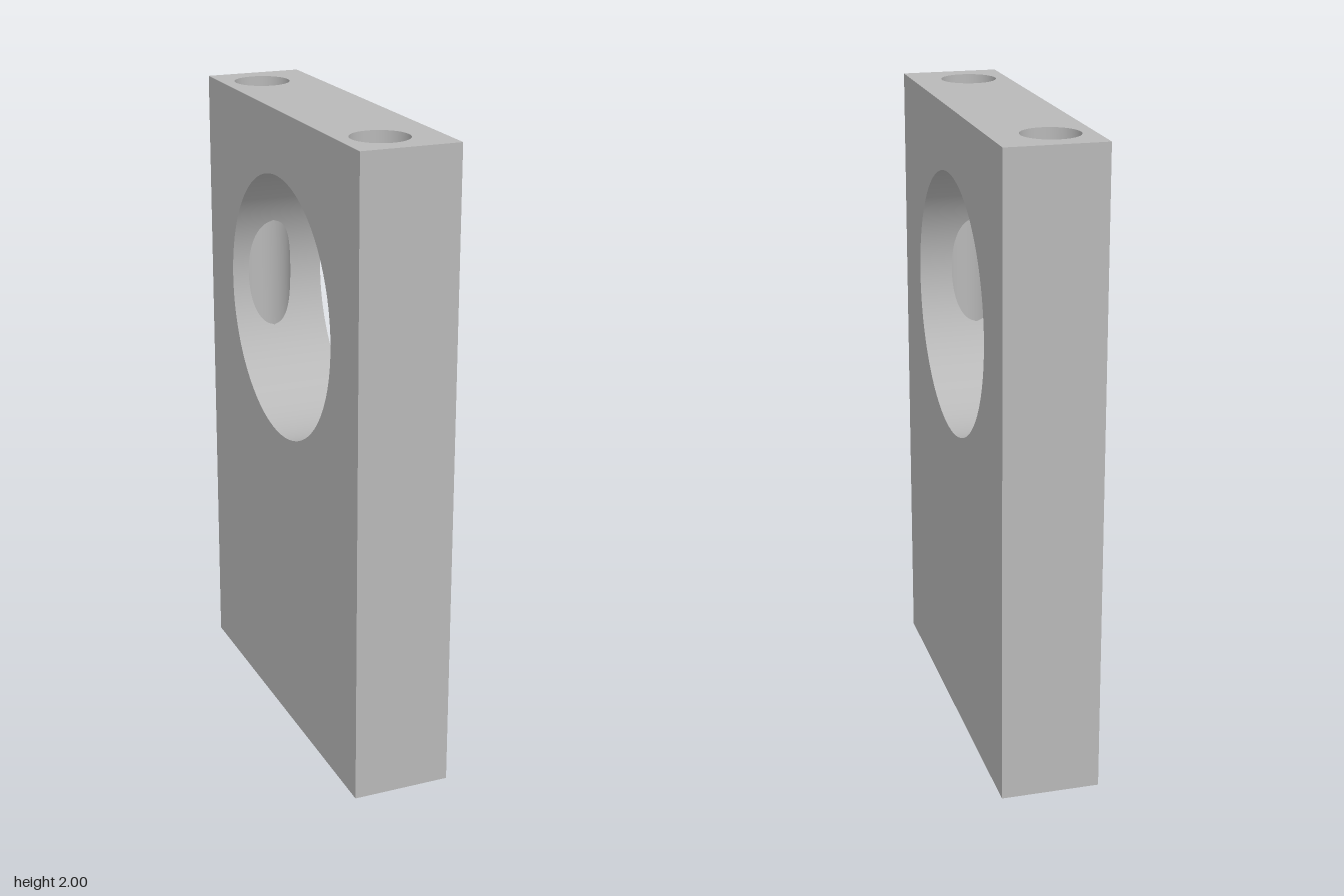
import * as THREE from 'three';

// Plate size, large cross bore and the two vertical bolt bores
const W = 1.23, H = 2, T = 0.307;
const BORE_R = 0.413, BORE_Y = 1.387;
const BOLT_R = 0.088, BOLT_X = 0.462, BOLT_Z = 0.026;

// Flat rectangle with round holes, given as [x, y, radius]
function face(w, h, holes = []) {
  const shape = new THREE.Shape();
  shape.moveTo(-w / 2, -h / 2).lineTo(w / 2, -h / 2).lineTo(w / 2, h / 2).lineTo(-w / 2, h / 2);
  for (const [x, y, r] of holes) {
    const hole = new THREE.Path();
    hole.absarc(x, y, r, 0, Math.PI * 2, true);
    shape.holes.push(hole);
  }
  return new THREE.ShapeGeometry(shape, 64);
}

// Inward-facing cylinder wall along y, split by an opening of half-height gap(angle) around mid
function boreWall(radius, lo, hi, mid, gap, columns) {
  const pos = [], nor = [], index = [];
  for (let i = 0; i <= columns; i++) {
    const a = (i / columns) * Math.PI * 2, c = Math.cos(a), s = Math.sin(a), g = gap(c);
    for (const y of [lo, mid - g, mid + g, hi]) {
      pos.push(radius * c, y, radius * s);
      nor.push(-c, 0, -s);
    }
    if (i === columns) continue;
    for (const row of [0, 2]) {
      const p = i * 4 + row, q = p + 4;
      index.push(p, q, q + 1, p, q + 1, p + 1);
    }
  }
  const geo = new THREE.BufferGeometry();
  geo.setAttribute('position', new THREE.Float32BufferAttribute(pos, 3));
  geo.setAttribute('normal', new THREE.Float32BufferAttribute(nor, 3));
  geo.setIndex(index);
  return geo;
}

// Half chord of a circle at distance d from its centre
const halfChord = (r, d) => Math.sqrt(Math.max(0, r * r - d * d));

export function createModel() {
  const grey = new THREE.MeshStandardMaterial({ color: 0xb8b8b8 });
  grey.name = 'plain grey';
  const model = new THREE.Group();
  model.name = 'boredPlate';
  const add = (name, geo, x = 0, y = 0, z = 0) => {
    const mesh = new THREE.Mesh(geo, grey);
    mesh.name = name;
    mesh.position.set(x, y, z);
    model.add(mesh);
  };

  // Broad faces with the large bore opening
  const broad = face(W, H, [[0, BORE_Y - H / 2, BORE_R]]);
  add('frontFace', broad, 0, H / 2, T / 2);
  add('backFace', broad.clone().rotateY(Math.PI), 0, H / 2, -T / 2);

  // Narrow side faces
  for (const side of [-1, 1]) {
    add(side > 0 ? 'leftEdge' : 'rightEdge', face(T, H).rotateY(side * Math.PI / 2), side * W / 2, H / 2, 0);
  }

  // End faces with two bolt openings each
  const bolts = (z) => [-1, 1].map((s) => [s * BOLT_X, z, BOLT_R]);
  add('topFace', face(W, T, bolts(-BOLT_Z)).rotateX(-Math.PI / 2), 0, H, 0);
  add('bottomFace', face(W, T, bolts(BOLT_Z)).rotateX(Math.PI / 2));

  // Large bore wall, cut open on both sides by the bolt bores
  const slot = (c) => halfChord(BOLT_R, Math.abs(BORE_R * c) - BOLT_X);
  add('largeBore', boreWall(BORE_R, -T / 2, T / 2, BOLT_Z, slot, 720).rotateX(Math.PI / 2), 0, BORE_Y, 0);

  // Bolt bore walls, interrupted where they break into the large bore
  for (const side of [-1, 1]) {
    const x = side * BOLT_X;
    const cut = (c) => halfChord(BORE_R, x + BOLT_R * c);
    add(side > 0 ? 'leftBoltBore' : 'rightBoltBore', boreWall(BOLT_R, 0, H, BORE_Y, cut, 360), x, 0, BOLT_Z);
  }

  // The plate stands turned about its vertical axis
  model.rotation.y = -Math.PI / 3;
  const root = new THREE.Group();
  root.name = 'mountingPlate';
  root.add(model);
  return root;
}
